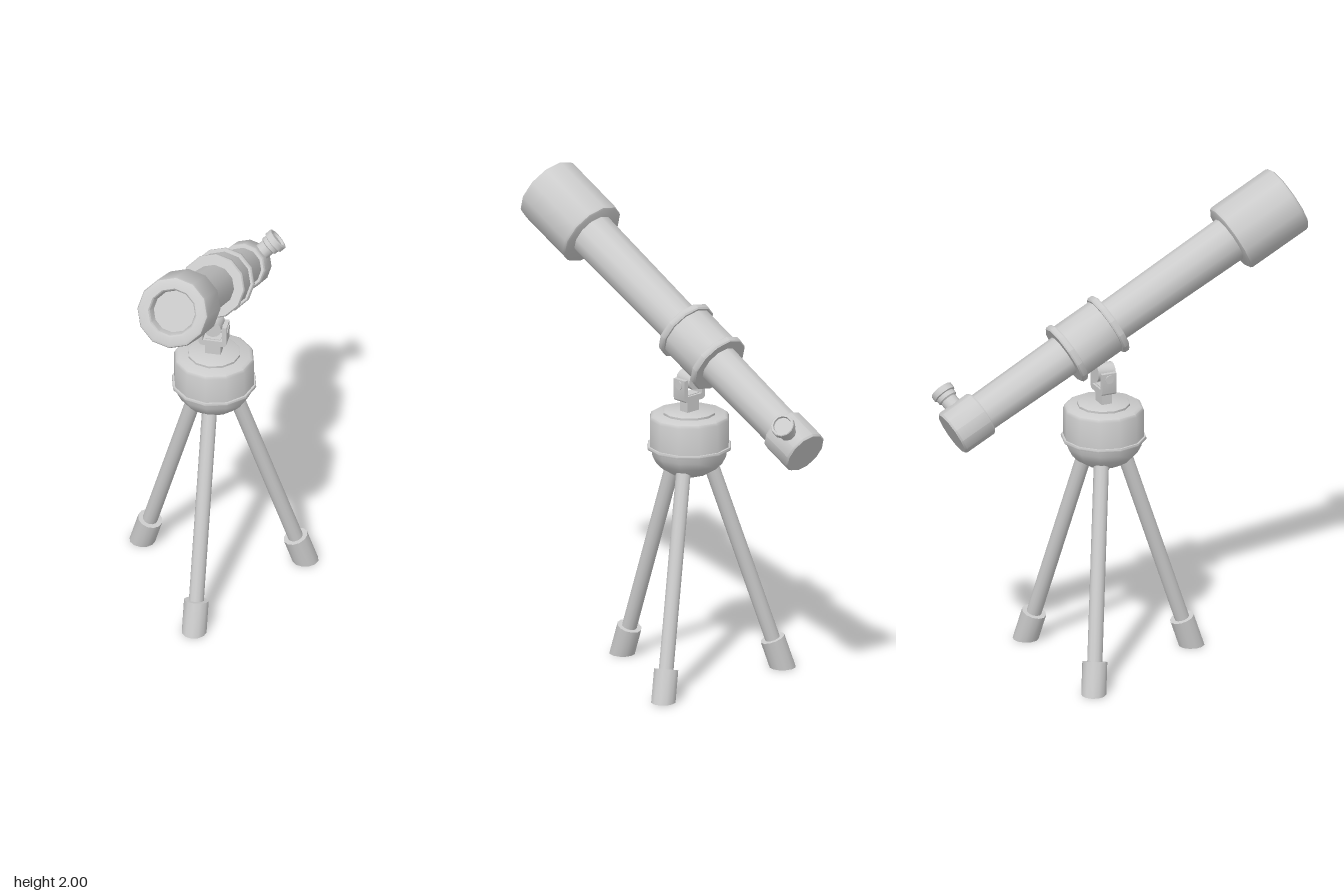
import * as THREE from 'three';
import { toCreasedNormals } from 'three/addons/utils/BufferGeometryUtils.js';

const SIDES = 12;
const HUB_Z = -0.085;

export function createModel() {
  const root = new THREE.Group();
  const grey = new THREE.MeshStandardMaterial({ color: 0xcccccc });

  function add(parent, name, geometry, x = 0, y = 0, z = 0) {
    const mesh = new THREE.Mesh(toCreasedNormals(geometry, 0.7), grey);
    mesh.name = name;
    mesh.position.set(x, y, z);
    parent.add(mesh);
    return mesh;
  }
  // Turned part from [radius, height] pairs, listed from the bottom up the outside
  const turned = (pairs, sides = SIDES) =>
    new THREE.LatheGeometry(pairs.map(([r, y]) => new THREE.Vector2(r, y)), sides);

  // ---- Optical tube: local +y runs from the eyepiece end to the front lens ----
  const scope = new THREE.Group();
  scope.name = 'telescopeTube';
  scope.position.set(0, 1.09, -0.759);
  scope.rotation.x = Math.acos(0.466);
  root.add(scope);

  add(scope, 'mainTube', turned([[0, 0.1], [0.081, 0.1], [0.097, 1.45], [0, 1.45]]));
  add(scope, 'lensHood', turned([
    [0, 1.394], [0.135, 1.394], [0.143, 1.398], [0.147, 1.408],
    [0.147, 1.676], [0.143, 1.687], [0.133, 1.692],
    [0.1, 1.692], [0.094, 1.686], [0.086, 1.64], [0, 1.64],
  ]));
  add(scope, 'collar', turned([[0, 0.57], [0.119, 0.57], [0.119, 0.79], [0, 0.79]]));
  for (const y of [0.562, 0.77]) {
    add(scope, 'collarRing', turned([
      [0.09, 0], [0.128, 0], [0.133, 0.006], [0.133, 0.024], [0.128, 0.03], [0.09, 0.03],
    ]), 0, y, 0);
  }
  add(scope, 'eyepieceHousing', turned([
    [0, 0], [0.092, 0], [0.098, 0.008], [0.098, 0.144], [0.092, 0.152], [0, 0.152],
  ]));

  // Small eyepiece leaning out of the housing, up and to the left
  const eyepiece = add(scope, 'eyepiece', turned([
    [0, 0.05], [0.035, 0.05], [0.035, 0.125], [0.042, 0.13], [0.042, 0.148],
    [0.049, 0.151], [0.049, 0.175], [0.046, 0.178], [0.038, 0.178], [0.036, 0.168], [0, 0.168],
  ]), 0, 0.075, 0);
  eyepiece.quaternion.setFromUnitVectors(
    new THREE.Vector3(0, 1, 0), new THREE.Vector3(1, 0, -1).normalize());

  // ---- Tripod head ----
  const bowl = [];
  for (let i = 0; i <= 6; i++) {
    const a = (i / 6) * Math.PI / 2;
    bowl.push([0.16 * Math.sin(a), 0.97 - 0.127 * Math.cos(a)]);
  }
  add(root, 'headBowl', turned(bowl), 0, 0, HUB_Z);
  add(root, 'headRim', turned([
    [0.14, 0.964], [0.173, 0.964], [0.175, 0.97], [0.173, 0.977], [0.14, 0.977],
  ]), 0, 0, HUB_Z);
  add(root, 'headDrum', turned([
    [0.165, 0.97], [0.165, 1.09], [0.16, 1.102], [0.148, 1.109], [0, 1.109],
  ]), 0, 0, HUB_Z);
  add(root, 'topPlate', turned([[0.108, 1.105], [0.108, 1.118], [0.103, 1.121], [0, 1.121]]), 0, 0, HUB_Z);

  // ---- Pivot between head and tube ----
  add(root, 'post', new THREE.BoxGeometry(0.064, 0.09, 0.044), 0, 1.15, HUB_Z);

  const fork = new THREE.Shape();
  fork.moveTo(-0.04, 0);
  fork.lineTo(0.04, 0);
  fork.quadraticCurveTo(0.058, 0, 0.058, 0.02);
  fork.lineTo(0.058, 0.095);
  fork.lineTo(0.04, 0.095);
  fork.lineTo(0.04, 0.025);
  fork.lineTo(-0.04, 0.025);
  fork.lineTo(-0.04, 0.095);
  fork.lineTo(-0.058, 0.095);
  fork.lineTo(-0.058, 0.02);
  fork.quadraticCurveTo(-0.058, 0, -0.04, 0);
  add(root, 'fork', new THREE.ExtrudeGeometry(fork, { depth: 0.064, bevelEnabled: false, curveSegments: 4 }),
    0, 1.167, HUB_Z - 0.032);

  add(root, 'pivotKnuckle', new THREE.CylinderGeometry(0.037, 0.037, 0.076, SIDES),
    0, 1.253, HUB_Z).rotation.x = Math.PI / 2;
  add(root, 'pivotPin', new THREE.CylinderGeometry(0.018, 0.018, 0.124, SIDES),
    0, 1.238, HUB_Z).rotation.z = Math.PI / 2;

  // ---- Legs: built leaning towards +z, then turned around the head ----
  const top = new THREE.Vector3(0, 0.92, 0.078);
  const foot = new THREE.Vector3(0, 0, 0.39);
  const axis = top.clone().sub(foot).normalize();
  const lean = new THREE.Quaternion().setFromUnitVectors(new THREE.Vector3(0, 1, 0), axis);

  function strut(radius, from, to) {
    const g = new THREE.CylinderGeometry(radius, radius, to - from, SIDES);
    g.translate(0, (from + to) / 2, 0).applyQuaternion(lean);
    return g.translate(foot.x, foot.y, foot.z);
  }
  // The foot's lower end is slid along the leg so that it rests flat on the floor
  function footGeometry() {
    const g = strut(0.051, 0, 0.132);
    const p = g.attributes.position;
    for (let i = 0; i < p.count; i++) {
      if (p.getY(i) > 0.06) continue;
      const t = p.getY(i) / axis.y;
      p.setXYZ(i, p.getX(i) - axis.x * t, 0, p.getZ(i) - axis.z * t);
    }
    return g;
  }
  for (let i = 0; i < 3; i++) {
    const leg = new THREE.Group();
    leg.name = ['frontLeg', 'backLeftLeg', 'backRightLeg'][i];
    leg.position.z = HUB_Z;
    leg.rotation.y = i * Math.PI * 2 / 3;
    add(leg, 'legRod', strut(0.031, 0.05, top.distanceTo(foot)));
    add(leg, 'legFoot', footGeometry());
    root.add(leg);
  }
  return root;
}
